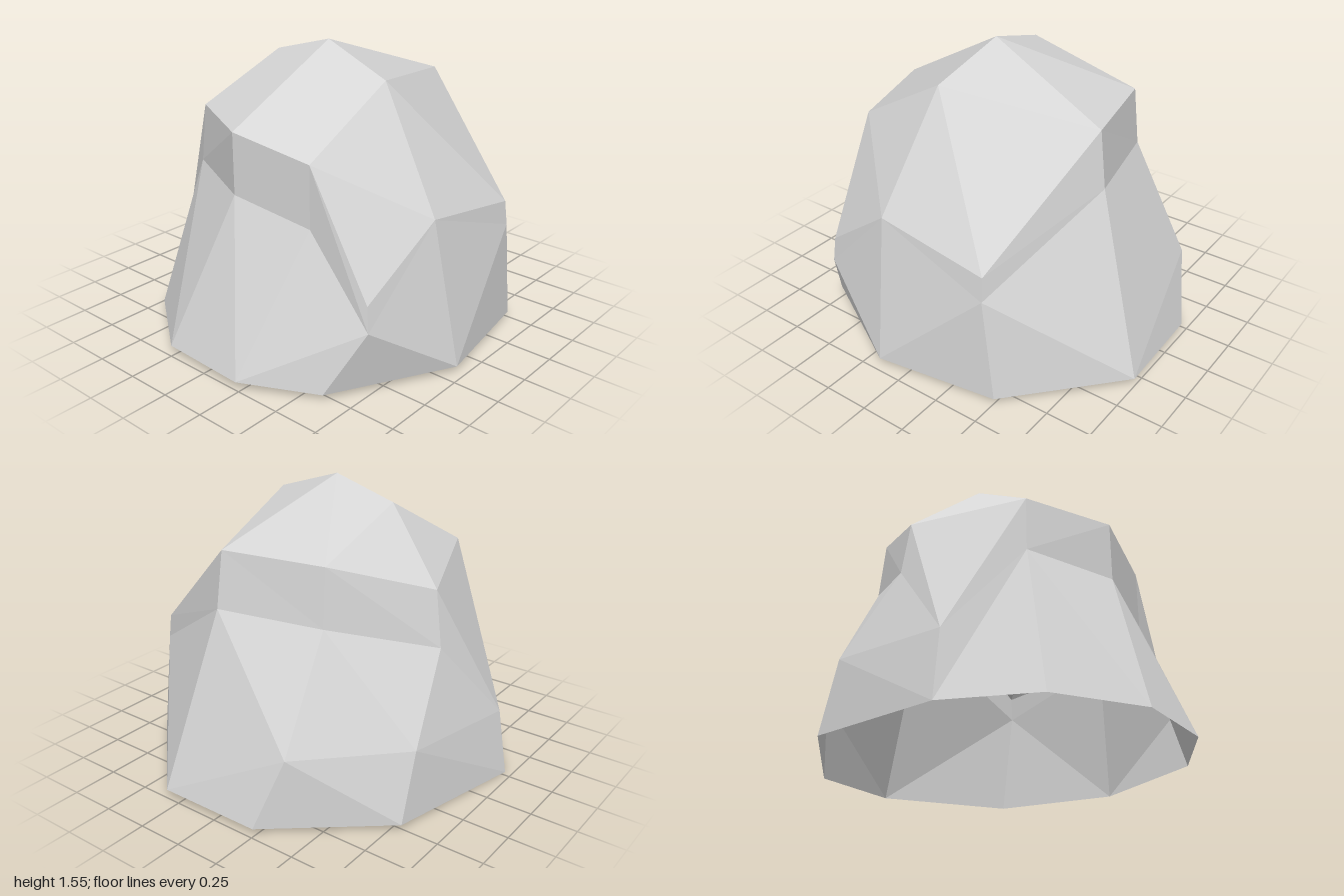
import * as THREE from 'three';

// The boulder is an open shell without an underside
const stone = new THREE.MeshStandardMaterial({ color: 0xd6d6d6, flatShading: true, side: THREE.DoubleSide });
stone.name = 'stone grey';

// Cross-sections of the boulder, ten corners each, running from the front left round to the side
const base = [
  [0.61, 0.03, 0.79], [0.23, 0.045, 1.0], [-0.27, 0.045, 0.98], [-0.685, 0.045, 0.68], [-0.96, 0, 0.28],
  [-0.8, 0.03, -0.51], [-0.235, 0.03, -0.975], [0.33, 0.05, -1.0], [0.85, 0.03, -0.5], [0.957, 0.035, 0.165],
];
// Same as the base, but with a low step at the back
const foot = base.slice();
foot[5] = [-0.805, 0.4, -0.405];
foot[6] = [-0.365, 0.41, -0.875];

const ledge = [
  [0.77, 0.36, 0.65], [0.415, 0.79, 0.655], [-0.03, 0.87, 0.715], [-0.51, 0.885, 0.49], [-0.905, 0.365, 0.27],
  [-0.74, 0.82, -0.1], [-0.36, 0.98, -0.56], [0.2, 0.995, -0.695], [0.845, 0.585, -0.43], [0.82, 0.81, 0.21],
];
// Meets the ledge at the two sides
const brow = [
  [0.755, 0.495, 0.64], [0.415, 1.115, 0.655], [-0.03, 1.195, 0.715], [-0.485, 1.195, 0.475], ledge[4],
  [-0.695, 1.115, -0.085], [-0.35, 1.285, -0.53], [0.19, 1.295, -0.655], [0.83, 0.715, -0.425], ledge[9],
];
// The summit is a ridge of three peaks
const [p0, p1, p2] = [[0.445, 1.415, 0.13], [0.035, 1.555, 0.08], [-0.32, 1.455, 0.08]];
const crown = [brow[1], p0, p1, p2, brow[3], p2, p2, p1, p0, p0];

// Joins two cross-sections; folds says which diagonal each quad is folded along
function band(name, low, high, folds) {
  const triangles = [];
  low.forEach((a, i) => {
    const j = (i + 1) % low.length;
    const b = high[i], c = high[j], d = low[j];
    if (folds[i] === '1') triangles.push([a, b, d], [b, c, d]);
    else triangles.push([a, b, c], [a, c, d]);
  });
  // Where sections share a corner, the collapsed triangles are dropped
  const solid = triangles.filter(([a, b, c]) => a !== b && b !== c && c !== a);
  const geometry = new THREE.BufferGeometry();
  geometry.setAttribute('position', new THREE.Float32BufferAttribute(solid.flat(2), 3));
  geometry.computeVertexNormals();
  const mesh = new THREE.Mesh(geometry, stone);
  mesh.name = name;
  return mesh;
}

export function createModel() {
  const group = new THREE.Group();
  group.name = 'boulder';
  group.add(
    band('backStep', base, foot, '0000000000'),
    band('lowerWall', foot, ledge, '1001100010'),
    band('ledgeBand', ledge, brow, '0010000000'),
    band('summit', brow, crown, '1000100000'),
  );
  return group;
}
